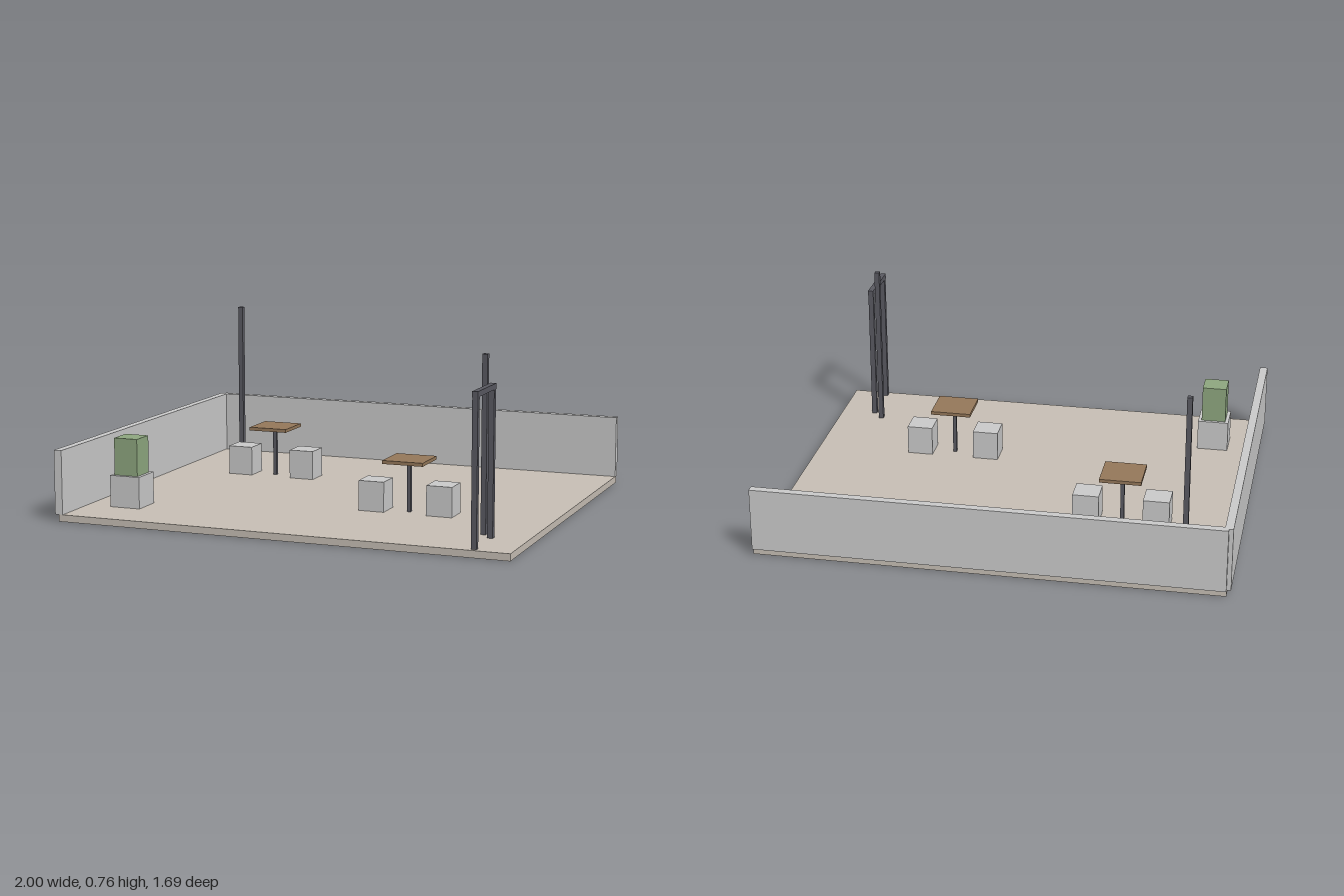
import * as THREE from 'three';

const material = (color) => new THREE.MeshStandardMaterial({ color });

export function createModel() {
  const model = new THREE.Group();
  model.name = 'patio';
  const grey = material(0xcccccc);
  const stone = material(0xc8c0b6);
  const wood = material(0x95785a);
  const metal = material(0x5a5a62);
  const green = material(0x8fa880);
  const FLOOR = 0.03;

  // Box given by its ranges along x, y and z
  function box(name, mat, [x0, x1], [y0, y1], [z0, z1], parent = model) {
    const mesh = new THREE.Mesh(new THREE.BoxGeometry(x1 - x0, y1 - y0, z1 - z0), mat);
    mesh.position.set((x0 + x1) / 2, (y0 + y1) / 2, (z0 + z1) / 2);
    mesh.name = name;
    parent.add(mesh);
    return mesh;
  }

  // Box of square plan, centred on x, z
  function column(name, mat, x, z, width, y0, y1, parent = model) {
    const h = width / 2;
    return box(name, mat, [x - h, x + h], [y0, y1], [z - h, z + h], parent);
  }

  // Floor slab and the two low walls
  box('floor', stone, [-0.982, 1], [0, FLOOR], [-0.83, 0.847]);
  box('backWall', grey, [-0.982, 1], [FLOOR, 0.305], [-0.847, -0.812]);
  box('rightWall', grey, [-1, -0.965], [FLOOR, 0.305], [-0.83, 0.847]);

  // Table sets: top, leg and a stool on each side
  for (const [x, z] of [[-0.481, -0.297], [0.373, 0.253]]) {
    const set = new THREE.Group();
    set.name = 'tableSet';
    column('tableTop', wood, x, z, 0.18, 0.245, 0.26, set);
    column('tableLeg', metal, x, z, 0.016, FLOOR, 0.245, set);
    for (const side of [-1, 1]) {
      column('stool', grey, x + side * 0.152, z, 0.114, FLOOR, 0.16, set);
    }
    model.add(set);
  }

  // Planter with a clipped bush
  column('planter', grey, -0.786, 0.556, 0.138, FLOOR, 0.167);
  column('bush', green, -0.786, 0.556, 0.108, 0.167, 0.328);

  // Tall poles in opposite corners
  column('pole', metal, -0.786, -0.602, 0.022, FLOOR, 0.765);
  column('pole', metal, 0.8, 0.556, 0.022, FLOOR, 0.765);

  // Entrance frame
  const frame = new THREE.Group();
  frame.name = 'entranceFrame';
  for (const z of [0.607, 0.819]) column('framePost', metal, 0.845, z, 0.023, FLOOR, 0.632, frame);
  box('frameBeam', metal, [0.833, 0.857], [0.632, 0.655], [0.592, 0.833], frame);
  model.add(frame);

  return model;
}
